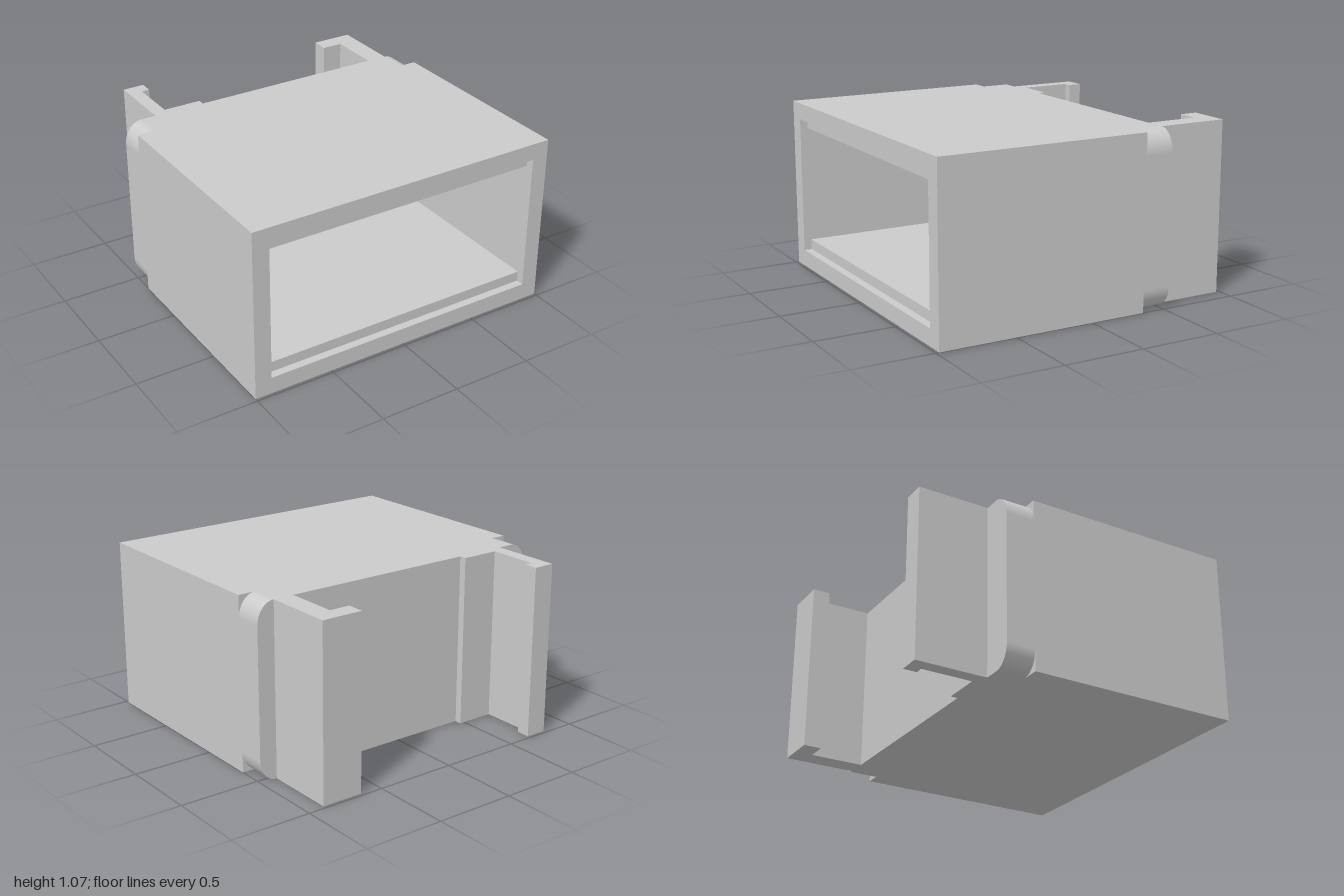
import * as THREE from 'three';

const H = 1.07;
const material = new THREE.MeshStandardMaterial({ color: 0xcccccc });

function rectPoints(x0, y0, x1, y1) {
  return [[x0, y0], [x1, y0], [x1, y1], [x0, y1]].map(([x, y]) => new THREE.Vector2(x, y));
}

// Extrudes a front-plane shape from z0 to z1
function slab(name, shape, z0, z1) {
  const geometry = new THREE.ExtrudeGeometry(shape, { depth: z1 - z0, bevelEnabled: false, curveSegments: 16 });
  geometry.translate(0, 0, z0);
  const mesh = new THREE.Mesh(geometry, material);
  mesh.name = name;
  return mesh;
}

// Rectangular ring with an opening of the given bottom and top
function frame(name, bottom, top, z0, z1) {
  const shape = new THREE.Shape(rectPoints(-1, 0, 1, H));
  shape.holes.push(new THREE.Path(rectPoints(-0.895, bottom, 0.895, top)));
  return slab(name, shape, z0, z1);
}

// Extrudes a plan outline of [x, z] points over the full height
function upright(name, outline) {
  const shape = new THREE.Shape(outline.map(([x, z]) => new THREE.Vector2(x, -z)));
  const geometry = new THREE.ExtrudeGeometry(shape, { depth: H, bevelEnabled: false });
  geometry.rotateX(-Math.PI / 2);
  const mesh = new THREE.Mesh(geometry, material);
  mesh.name = name;
  return mesh;
}

export function createModel() {
  const model = new THREE.Group();
  model.name = 'hookedHousing';

  // Open-fronted sleeve, with a taller recess at each end of the cavity
  model.add(frame('frontRim', 0.105, 0.967, 0.93, 0.98));
  model.add(frame('sleeve', 0.17, 0.905, -0.28, 0.93));
  model.add(frame('rearRecess', 0.105, 0.967, -0.355, -0.28));

  // Back wall with rounded outer corners
  const rx = 0.11, ry = 0.135;
  const wall = new THREE.Shape();
  wall.moveTo(-1 + rx, 0);
  wall.lineTo(1 - rx, 0);
  wall.absellipse(1 - rx, ry, rx, ry, -Math.PI / 2, 0, false);
  wall.absellipse(1 - rx, H - ry, rx, ry, 0, Math.PI / 2, false);
  wall.absellipse(-1 + rx, H - ry, rx, ry, Math.PI / 2, Math.PI, false);
  wall.absellipse(-1 + rx, ry, rx, ry, Math.PI, Math.PI * 1.5, false);
  const backWall = slab('backWall', wall, -0.535, -0.355);

  // Smooth normals on the rounded corners
  const pos = backWall.geometry.attributes.position;
  const nor = backWall.geometry.attributes.normal;
  for (let i = 0; i < pos.count; i++) {
    if (Math.abs(nor.getZ(i)) > 0.5) continue;
    const x = pos.getX(i), y = pos.getY(i) - H / 2;
    const dx = Math.max(0, Math.abs(x) - 1 + rx) * Math.sign(x) / (rx * rx);
    const dy = Math.max(0, Math.abs(y) - H / 2 + ry) * Math.sign(y) / (ry * ry);
    const n = new THREE.Vector3(dx, dy, 0).normalize();
    nor.setXYZ(i, n.x, n.y, 0);
  }
  model.add(backWall);

  // Slim hook with a foot pad along the back wall
  model.add(upright('slimHook', [
    [-0.795, -0.535], [-0.47, -0.535], [-0.47, -0.58], [-0.71, -0.58],
    [-0.71, -0.895], [-0.66, -0.895], [-0.66, -0.98], [-0.795, -0.98],
  ]));

  // Thick hook
  model.add(upright('thickHook', [
    [0.89, -0.535], [0.89, -0.98], [0.63, -0.98],
    [0.63, -0.87], [0.76, -0.87], [0.76, -0.535],
  ]));

  return model;
}
